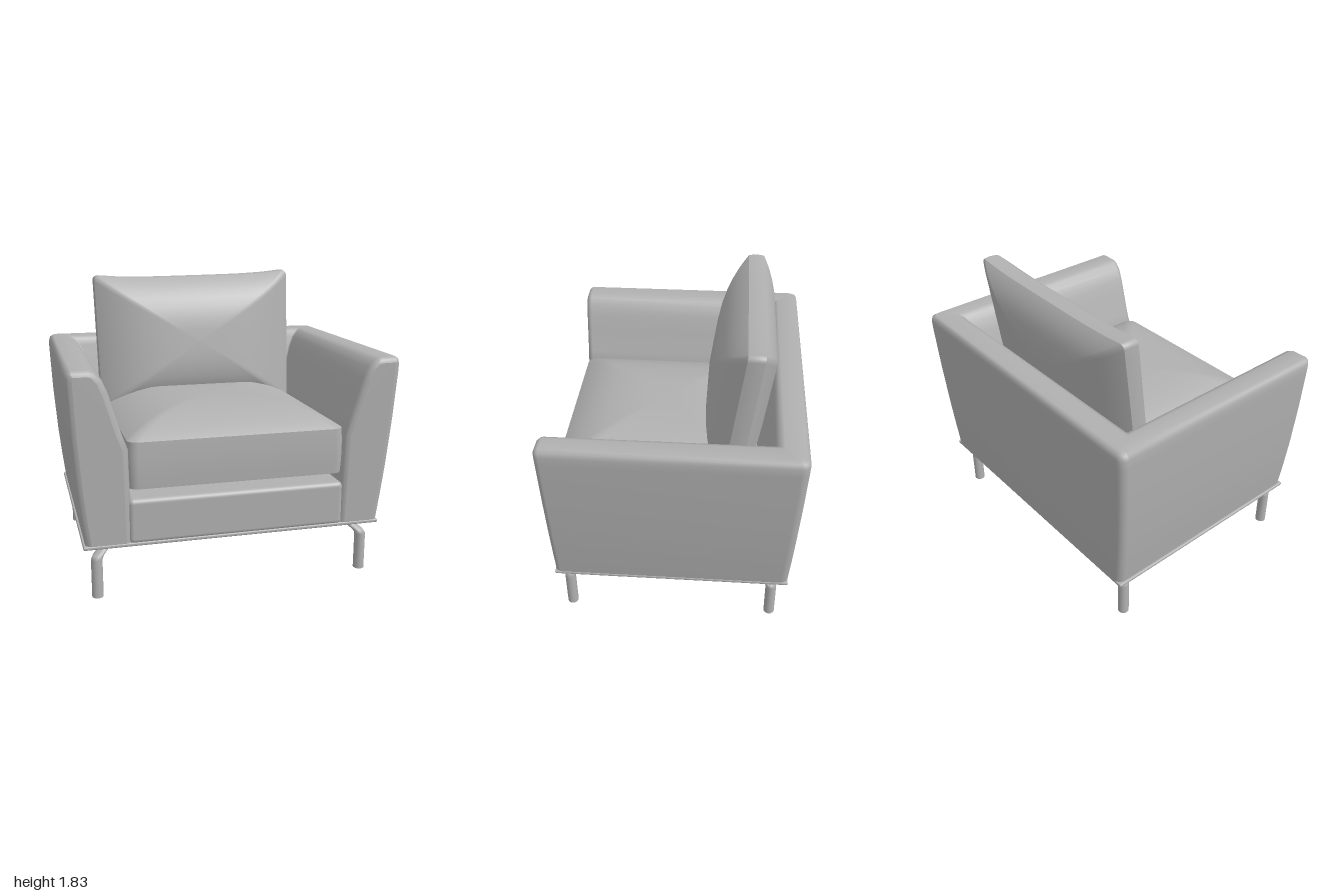
import * as THREE from 'three';
import { RoundedBoxGeometry } from 'three/addons/geometries/RoundedBoxGeometry.js';

const upholstery = new THREE.MeshStandardMaterial({ color: 0xb0b0b0, side: THREE.DoubleSide });
upholstery.name = 'grey';

function part(name, geometry, parent) {
  const mesh = new THREE.Mesh(geometry, upholstery);
  mesh.name = name;
  parent.add(mesh);
  return mesh;
}

// Smooth skin over a list of cross-sections, each an array of [x, y, z]
function loft(rings, closed = true) {
  const n = rings[0].length, index = [];
  for (let i = 0; i < rings.length - 1; i++) {
    for (let j = 0; j < (closed ? n : n - 1); j++) {
      const k = (j + 1) % n, a = i * n + j, b = i * n + k, c = b + n, d = a + n;
      index.push(a, b, c, a, c, d);
    }
  }
  const geo = new THREE.BufferGeometry();
  geo.setAttribute('position', new THREE.Float32BufferAttribute(rings.flat(2), 3));
  geo.setIndex(index);
  geo.computeVertexNormals();
  return geo;
}

// Counter-clockwise rounded rectangle with subdivided sides
function roundRect(hx, hy, r) {
  const corners = [];
  [[1, 1], [-1, 1], [-1, -1], [1, -1]].forEach(([sx, sy], q) => {
    for (let i = 0; i <= 5; i++) {
      const a = (q + i / 5) * Math.PI / 2;
      corners.push([sx * (hx - r) + r * Math.cos(a), sy * (hy - r) + r * Math.sin(a)]);
    }
  });
  const pts = [];
  corners.forEach((p, i) => {
    const q = corners[(i + 1) % corners.length];
    const steps = i % 6 === 5 ? 10 : 1;
    for (let k = 0; k < steps; k++) {
      const t = k / steps;
      pts.push([p[0] + (q[0] - p[0]) * t, p[1] + (q[1] - p[1]) * t]);
    }
  });
  return pts;
}

// Boxed cushion: two domed shells joined by a band, creased along the seams
function cushion(name, { hx, hy, r, band, front, back, power, warp }, parent) {
  const group = new THREE.Group();
  group.name = name;
  parent.add(group);
  const outline = roundRect(hx, hy, r);
  const ring = (s, w) => outline.map(([u, v]) => warp(u * s, v * s, w));
  const scales = [1, 0.985, 0.96, 0.92, 0.86, 0.78, 0.68, 0.55, 0.38, 0.2, 0];
  const dome = s => 1 - s ** power;
  part('frontPanel', loft(scales.map(s => ring(s, band + front * dome(s)))), group);
  part('backPanel', loft([...scales].reverse().map(s => ring(s, -band - back * dome(s)))), group);
  part('boxingBand', loft([-1, -0.5, 0, 0.5, 1].map(t => ring(1 + 0.008 * (1 - t * t), band * t))), group);
  return group;
}

// Arm and back section: [x, y, z on the back wall, corner radius]
const PROFILE = [
  [0.922, 0.34, -0.712, 0.05], [0.942, 0.5, -0.722, 0.05], [0.963, 0.7, -0.733, 0.05],
  [0.985, 1.0, -0.748, 0.05], [0.998, 1.28, -0.76, 0.05], [0.999, 1.335, -0.762, 0.05],
  [0.99, 1.365, -0.755, 0.045], [0.968, 1.38, -0.735, 0.04], [0.87, 1.378, -0.62, 0.01],
  [0.835, 1.362, -0.588, 0.01], [0.8, 1.32, -0.575, 0.01], [0.77, 1.25, -0.56, 0.01],
  [0.74, 1.15, -0.535, 0.01], [0.695, 1.0, -0.5, 0.01], [0.662, 0.91, -0.48, 0.01],
  [0.655, 0.6, -0.46, 0.01], [0.65, 0.34, -0.45, 0.01],
];
const lean = (x, y) => (x > 0 ? x - 0.026 * (1.38 - y) * Math.max(0, (x - 0.6) / 0.4) : x);

// Profile shrunk along its normals, for the rounded arm fronts
function insetProfile(d) {
  return PROFILE.map((p, i) => {
    const a = PROFILE[Math.max(i - 1, 0)], b = PROFILE[Math.min(i + 1, PROFILE.length - 1)];
    const tx = b[0] - a[0], ty = b[1] - a[1], l = Math.hypot(tx, ty);
    return [p[0] - ty / l * d, p[1] + tx / l * d];
  });
}

function buildShell(parent) {
  const frontZ = y => 0.745 + 0.02 * (y - 0.34);
  const end = (side, inset, setback) =>
    insetProfile(inset).map(([x, y]) => [lean(side * x, y), y, frontZ(y) - setback]);
  const bevel = [[0.035, 0], [0.018, 0.006], [0.006, 0.017], [0, 0.035]].map(([b, d]) => [d, b]);
  const rings = [...bevel].reverse().map(([d, b]) => end(-1, d, b));
  // two rounded back corners
  for (const [side, start] of [[-1, Math.PI], [1, 1.5 * Math.PI]]) {
    for (let k = 0; k <= 5; k++) {
      const a = start + k / 5 * Math.PI / 2;
      rings.push(PROFILE.map(([x, y, z, r]) => [
        lean(side * (x - r) + r * Math.cos(a), y), y, z + r + r * Math.sin(a)]));
    }
  }
  bevel.forEach(([d, b]) => rings.push(end(1, d, b)));
  part('armsAndBack', loft(rings, false), parent);

  // flat arm fronts
  for (const side of [-1, 1]) {
    const pts = end(side, 0.035, 0);
    const contour = insetProfile(0.035).map(([x, y]) => new THREE.Vector2(x, y));
    const faces = THREE.ShapeUtils.triangulateShape(contour, []);
    const geo = new THREE.BufferGeometry();
    geo.setAttribute('position', new THREE.Float32BufferAttribute(pts.flat(), 3));
    geo.setIndex(faces.flatMap(([a, b, c]) => (side > 0 ? [a, b, c] : [a, c, b])));
    geo.computeVertexNormals();
    part(side > 0 ? 'leftArmFront' : 'rightArmFront', geo, parent);
  }
}

// Bent round leg that leans in towards the middle of the chair
function buildLeg(name, x, z, parent) {
  const path = [[0, 0], [0, 0.235], [0.012, 0.258], [0.07, 0.305], [0.095, 0.32], [0.105, 0.34]];
  const sx = -Math.sign(x), sz = -Math.sign(z), r = 0.034;
  const rings = path.map(([d, y]) => Array.from({ length: 16 }, (_, i) => {
    const a = -i / 16 * Math.PI * 2;
    return [x + sx * d + r * Math.cos(a), y, z + sz * d + r * Math.sin(a)];
  }));
  part(name, loft(rings), parent);
  const foot = part(name + 'Foot', new THREE.CircleGeometry(r, 16).rotateX(Math.PI / 2), parent);
  foot.position.set(x, 0.001, z);
}

export function createModel() {
  const chair = new THREE.Group();
  chair.name = 'armchair';

  buildShell(chair);

  // Seat rail and bottom board
  const rail = part('seatRail', new RoundedBoxGeometry(1.33, 0.275, 1.3, 4, 0.03), chair);
  rail.position.set(-0.003, 0.4725, 0.098);
  const board = part('bottomBoard', new RoundedBoxGeometry(1.84, 0.022, 1.46, 2, 0.008), chair);
  board.position.set(-0.016, 0.336, 0.018);

  // Seat cushion, lying flat with its crown upwards
  const seat = cushion('seatCushion', {
    hx: 0.66, hy: 0.62, r: 0.06, band: 0.14, front: 0.14, back: 0.065, power: 3.2,
    warp: (u, v, w) => [u, v, w],
  }, chair);
  seat.rotation.x = -Math.PI / 2;
  seat.position.set(-0.003, 0.81, 0.122);

  // Back cushion, tilted back with slightly raised corners
  const back = cushion('backCushion', {
    hx: 0.675, hy: 0.425, r: 0.035, band: 0.05, front: 0.158, back: 0.125, power: 3.4,
    warp: (u, v, w) => {
      const e = u / 0.675, t = v / 0.425;
      return [
        u * (1 + 0.012 * t),
        v + Math.max(t, 0) * (0.024 * e ** 4 + 0.01 * e) - 0.03 * Math.max(-t, 0) * e * e,
        w - 0.145 * v,
      ];
    },
  }, chair);
  back.position.set(-0.014, 1.37, -0.385);

  // Legs
  for (const [end, z] of [['front', 0.672], ['back', -0.616]]) {
    buildLeg(end + 'LeftLeg', 0.822, z, chair);
    buildLeg(end + 'RightLeg', -0.855, z, chair);
  }
  return chair;
}
